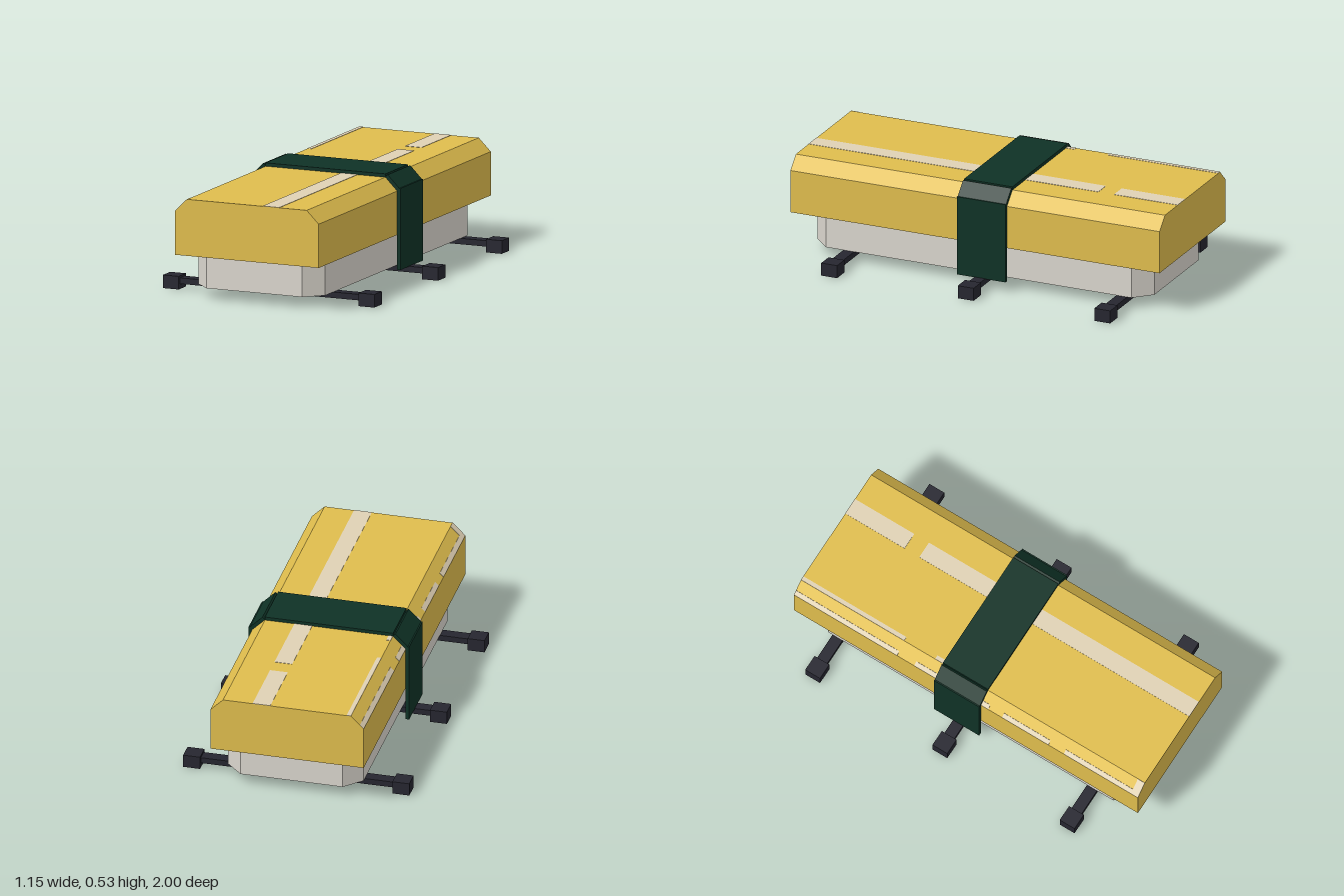
import * as THREE from 'three';

const mat = (name, color) => {
  const m = new THREE.MeshStandardMaterial({ color });
  m.name = name;
  return m;
};

export function createModel() {
  const gold = mat('gold', 0xdfbd4d);
  const stone = mat('pale grey', 0xdad6cd);
  const paint = mat('stripe beige', 0xdfd1b4);
  const green = mat('dark green', 0x0f3226);
  const black = mat('charcoal', 0x262630);

  const model = new THREE.Group();
  model.name = 'strappedBlock';

  const add = (name, geo, material, parent = model) => {
    const m = new THREE.Mesh(geo, material);
    m.name = name;
    parent.add(m);
    return m;
  };
  const box = (name, w, h, d, x, y, z, material, parent) => {
    const m = add(name, new THREE.BoxGeometry(w, h, d), material, parent);
    m.position.set(x, y, z);
    return m;
  };
  const extrude = (points, depth) => new THREE.ExtrudeGeometry(
    new THREE.Shape(points.map(([x, y]) => new THREE.Vector2(x, y))),
    { depth, bevelEnabled: false });

  // Upper block with sloped top edges, running along z
  const upper = extrude([[-0.39, 0.23], [0.39, 0.23], [0.39, 0.45],
    [0.325, 0.514], [-0.325, 0.514], [-0.39, 0.45]], 2);
  upper.translate(0, 0, -1);
  add('upperBlock', upper, gold);

  // Lower base with cut corners
  const base = extrude([[-0.26, -0.913], [0.26, -0.913], [0.345, -0.828], [0.345, 0.828],
    [0.26, 0.913], [-0.26, 0.913], [-0.345, 0.828], [-0.345, -0.828]], 0.173);
  base.rotateX(-Math.PI / 2);
  base.translate(0, 0.057, 0);
  add('lowerBase', base, stone);

  // Painted stripes on the top face: [x from, x to, z from, z to]
  [[0.085, 0.175, -1, -0.655], [0.085, 0.175, -0.57, 1],
    [-0.325, -0.303, -1, -0.4], [-0.325, -0.303, -0.22, -0.16]].forEach(([x0, x1, z0, z1]) =>
    box('topStripe', x1 - x0, 0.003, z1 - z0, (x0 + x1) / 2, 0.514, (z0 + z1) / 2, paint));

  // Painted patches on the sloped edge, in the plane of the slope
  const slope = new THREE.Group();
  slope.name = 'slopeMarkings';
  slope.position.set(-0.3575, 0.482, 0);
  slope.rotation.z = Math.atan2(0.064, 0.065);
  model.add(slope);
  [[-0.045, -0.018, -1, -0.4], [-0.045, -0.018, -0.3, 0.13], [-0.045, -0.018, 0.21, 0.48],
    [-0.045, -0.018, 0.57, 0.96], [-0.045, 0.045, 0.96, 1]].forEach(([u0, u1, z0, z1]) =>
    box('slopeStripe', u1 - u0, 0.003, z1 - z0, (u0 + u1) / 2, 0, (z0 + z1) / 2, paint, slope));

  // Strap: top plate, two sloped plates and two side plates
  const bandZ = -0.043, bandD = 0.262;
  box('strapTop', 0.652, 0.018, bandD, 0, 0.522, bandZ, green);
  for (const s of [-1, 1]) {
    box('strapSide', 0.018, 0.41, bandD, s * 0.399, 0.26, bandZ, green);
    box('strapSlope', 0.092, 0.018, bandD, s * 0.3645, 0.489, bandZ, green)
      .rotation.z = -s * Math.PI / 4;
  }

  // Cross bars with end blocks
  for (const z of [0.705, -0.035, -0.775]) {
    const bar = new THREE.Group();
    bar.name = 'crossBar';
    bar.position.z = z;
    model.add(bar);
    box('rod', 1, 0.03, 0.058, 0, 0.042, 0, black, bar);
    for (const s of [-1, 1]) box('endBlock', 0.086, 0.066, 0.086, s * 0.532, 0.034, 0, black, bar);
  }
  return model;
}
